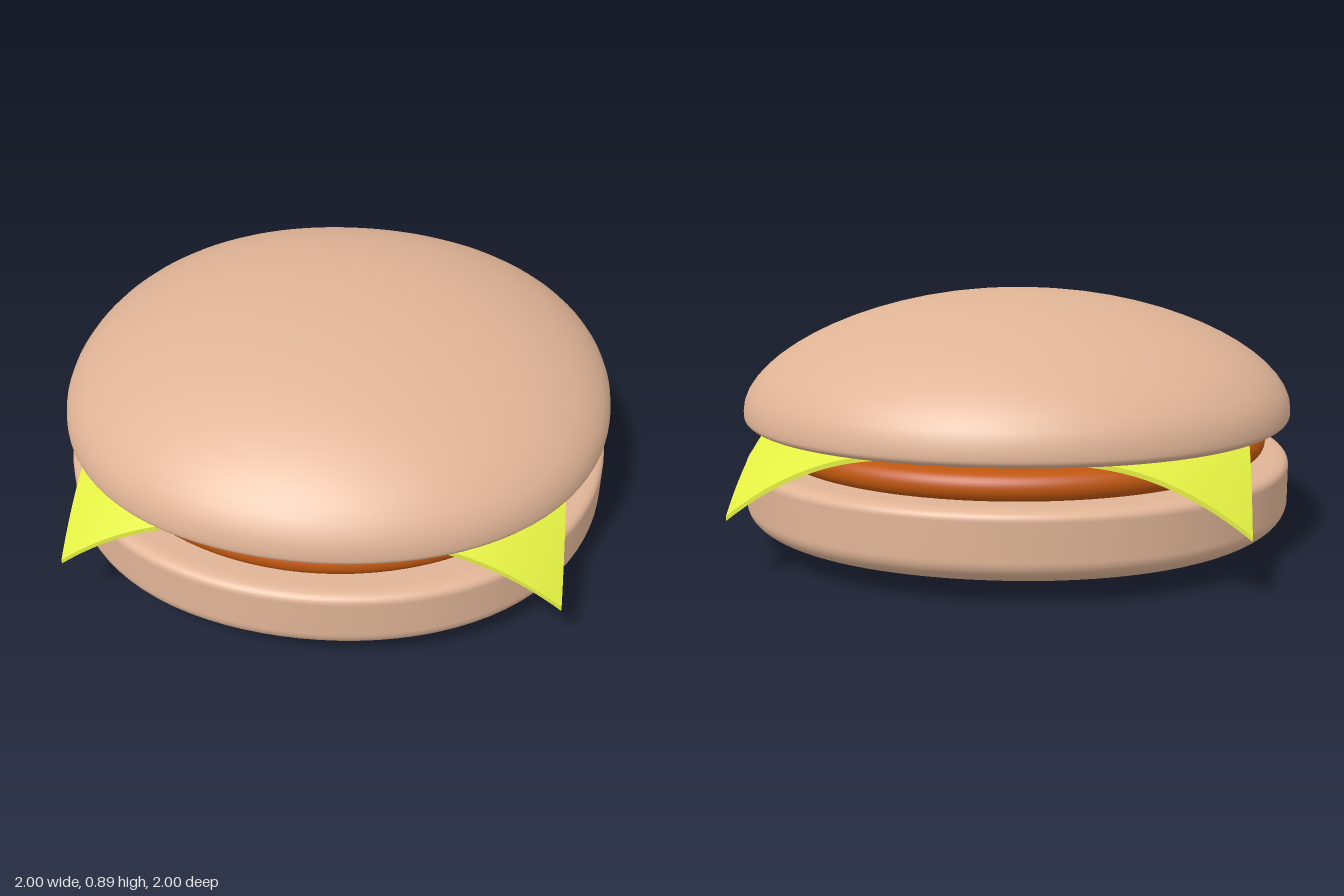
import * as THREE from 'three';

const material = (color) => new THREE.MeshStandardMaterial({ color });

// Revolve a path (from the bottom axis point to the top one); squareness swells the diagonals a little
function turned(name, path, mat, squareness = 0) {
  const geo = new THREE.LatheGeometry(path.getPoints(16), 96);
  const pos = geo.attributes.position;
  for (let i = 0; i < pos.count; i++) {
    const x = pos.getX(i), z = pos.getZ(i);
    const k = 1 + squareness * (1 - Math.cos(4 * Math.atan2(z, x)));
    pos.setX(i, x * k);
    pos.setZ(i, z * k);
  }
  const mesh = new THREE.Mesh(geo, mat);
  mesh.name = name;
  return mesh;
}

export function createModel() {
  const group = new THREE.Group();
  group.name = 'burger';
  const bun = material(0xe0b496);

  // Bottom bun: slightly bellied base, upright side, softly rounded top edge
  const lower = new THREE.Path()
    .moveTo(0, 0)
    .bezierCurveTo(0.3, 0, 0.6, 0.02, 0.78, 0.04)
    .bezierCurveTo(0.93, 0.057, 1, 0.09, 1, 0.15)
    .lineTo(1, 0.275)
    .quadraticCurveTo(1, 0.31, 0.94, 0.31)
    .lineTo(0, 0.31);
  group.add(turned('bottomBun', lower, bun, 0.0125));

  // Patty: thin disc with a rounded rim
  const meat = new THREE.Path()
    .moveTo(0, 0.309)
    .lineTo(0.87, 0.309)
    .bezierCurveTo(0.93, 0.312, 0.93, 0.395, 0.87, 0.402)
    .quadraticCurveTo(0.8, 0.416, 0.7, 0.418)
    .lineTo(0, 0.418);
  group.add(turned('patty', meat, material(0xbf560f)));

  // Cheese: thin square slice whose corners droop past the patty
  const slice = new THREE.BoxGeometry(1.68, 0.016, 1.68, 56, 1, 56);
  const pos = slice.attributes.position;
  for (let i = 0; i < pos.count; i++) {
    const r = Math.hypot(pos.getX(i), pos.getZ(i));
    pos.setY(i, pos.getY(i) + 0.426 - 1.4 * Math.max(0, r - 0.9) ** 1.5);
  }
  slice.computeVertexNormals();
  const cheese = new THREE.Mesh(slice, material(0xe2ee42));
  cheese.name = 'cheese';
  group.add(cheese);

  // Top bun: flat underside, tight rim and a low dome
  const dome = new THREE.Path()
    .moveTo(0, 0.435)
    .lineTo(0.94, 0.435)
    .quadraticCurveTo(1, 0.435, 1, 0.465)
    .lineTo(1, 0.48)
    .bezierCurveTo(1, 0.66, 0.55, 0.89, 0, 0.89);
  group.add(turned('topBun', dome, bun, 0.0125));

  return group;
}
